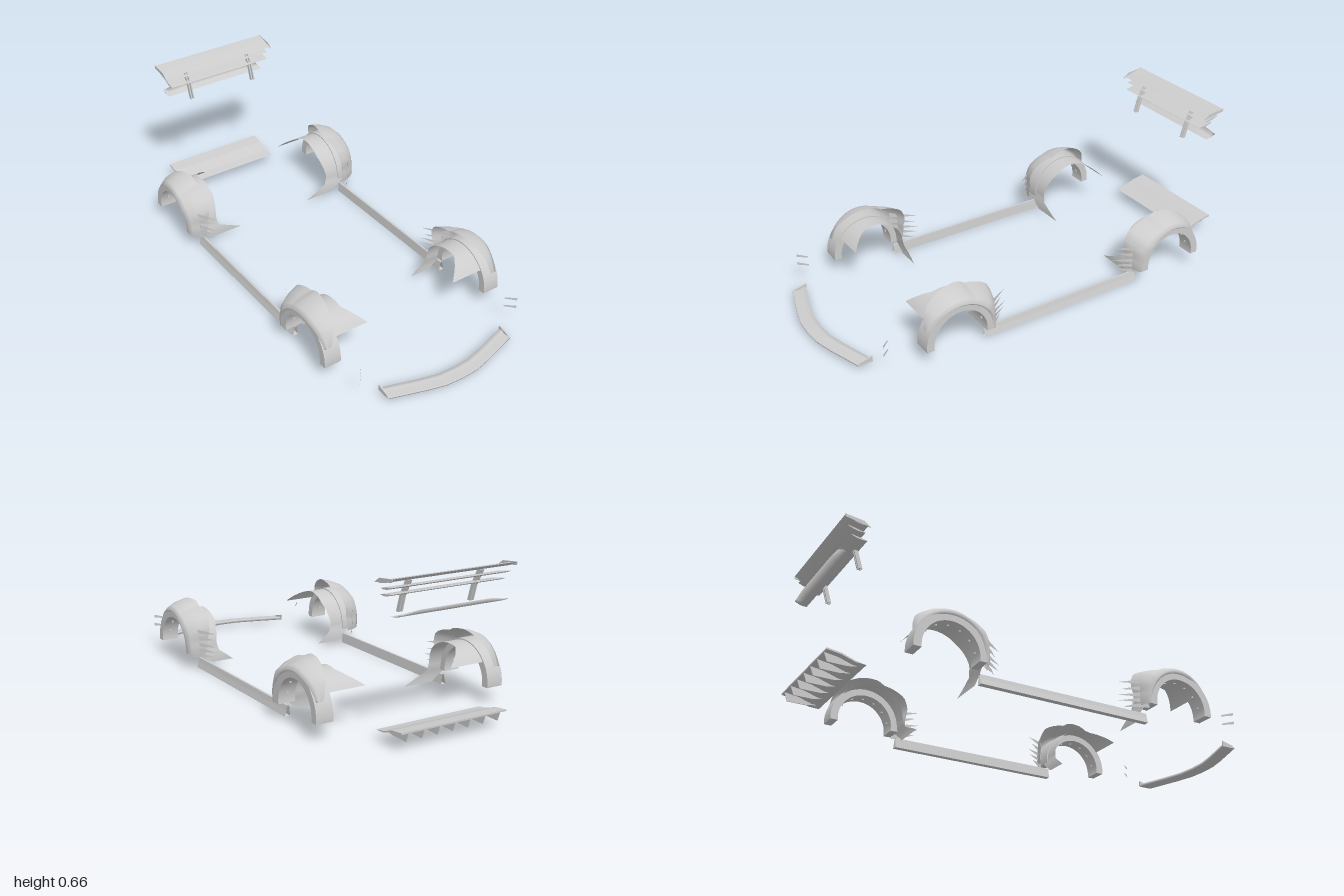
import * as THREE from 'three';

const paint = new THREE.MeshStandardMaterial({ color: 0xcccccc, side: THREE.DoubleSide });
paint.name = 'lightGrey';

function add(parent, name, geo) {
  const mesh = new THREE.Mesh(geo, paint);
  mesh.name = name;
  parent.add(mesh);
  return mesh;
}

// Sheet through a grid of rows of [x, y, z] points
function sheet(rows) {
  const n = rows[0].length, index = [];
  for (let i = 0; i < rows.length - 1; i++)
    for (let j = 0; j < n - 1; j++) {
      const a = i * n + j, b = a + n;
      index.push(a, b, a + 1, b, b + 1, a + 1);
    }
  const geo = new THREE.BufferGeometry();
  geo.setAttribute('position', new THREE.Float32BufferAttribute(rows.flat(2), 3));
  geo.setIndex(index);
  geo.computeVertexNormals();
  return geo;
}

// Prism along x; the shape is drawn with its x axis as -z
function prism(shape, x0, x1) {
  const geo = new THREE.ExtrudeGeometry(shape, { depth: x1 - x0, bevelEnabled: false, curveSegments: 28 });
  return geo.rotateY(Math.PI / 2).translate(x0, 0, 0);
}
const outline = (pts) => new THREE.Shape(pts.map(([z, y]) => new THREE.Vector2(-z, y)));

// Curved blade between a front and a rear [z, y] edge
function blade(half, [z0, y0], [z1, y1], thick) {
  const s = new THREE.Shape();
  const mz = -(z0 + z1) / 2, my = (y0 + y1) / 2;
  s.moveTo(-z0, y0);
  s.quadraticCurveTo(mz, my + thick * 0.3, -z1, y1);
  s.quadraticCurveTo(mz, my - thick * 1.7, -z0, y0);
  return prism(s, -half, half);
}

// Linear interpolation in a short list of [key, value]
function lerp(table, t) {
  for (let i = 1; i < table.length; i++) {
    const [a, va] = table[i - 1], [b, vb] = table[i];
    if (t <= b) return va + (vb - va) * Math.max(0, (t - a) / (b - a));
  }
  return table[table.length - 1][1];
}

// Wheel arch set; m is the side (+1 left), s points away from the car's middle
function wheelArch(name, m, s, zc, tipX, footX) {
  const g = new THREE.Group();
  g.name = name;
  const yc = 0.085;
  const polar = (x, r, deg) => {
    const a = deg * Math.PI / 180;
    return [m * x, yc + r * Math.sin(a), zc + s * r * Math.cos(a)];
  };

  // Wide flare around the wheel
  const ring = new THREE.Shape();
  ring.absarc(-zc, yc, 0.16, -0.09, Math.PI + 0.09, false);
  ring.absarc(-zc, yc, 0.126, Math.PI + 0.12, -0.12, true);
  add(g, 'archFlare', m > 0 ? prism(ring, 0.38, 0.458) : prism(ring, -0.458, -0.38));

  // Bolts inside the flare
  for (let i = 0; i < 7; i++) {
    const bolt = add(g, 'flareBolt', new THREE.BoxGeometry(0.008, 0.008, 0.008));
    bolt.position.set(...polar(0.42, 0.125, 15 + i * 25));
  }

  // Fender skin rolling up and inward above the flare
  const skin = [];
  const crest = [[25, 0.165], [48, 0.195], [62, 0.2], [82, 0.207], [104, 0.207], [112, 0.2], [140, 0.232], [152, 0.225], [165, 0.2], [185, 0.19]];
  const crown = [[25, 0.42], [60, 0.385], [100, 0.36], [140, 0.365], [185, 0.39]];
  const bulge = [[25, 0.45], [70, 0.468], [140, 0.475], [185, 0.462]];
  for (let deg = 25; deg <= 185; deg += 4) {
    const R = lerp(crest, deg), xi = lerp(crown, deg), xo = lerp(bulge, deg);
    skin.push([
      polar(xo - 0.01, 0.152, deg), polar(xo, 0.162, deg),
      polar(xo - 0.015, 0.162 + (R - 0.162) * 0.35, deg),
      polar(xo + (xi - xo) * 0.55, 0.162 + (R - 0.162) * 0.75, deg),
      polar(xi, R, deg),
    ]);
  }
  add(g, 'fenderSkin', sheet(skin));

  // Inner liner, flaring wide at the upper end and at the foot
  const liner = [];
  const inner = [[36, tipX], [58, 0.27], [75, 0.3], [130, 0.295], [170, 0.315], [185, 0.305], [202, footX]];
  for (let deg = 36; deg <= 202; deg += 83 / 15) {
    const xi = lerp(inner, deg), xo = deg > 180 ? 0.43 - (deg - 180) * 0.004 : deg > 165 ? 0.38 + (deg - 165) / 300 : 0.39;
    const r = 0.155 + Math.max(0, deg - 180) * 0.001;
    liner.push([polar(xo, r, deg), polar((xo + xi) / 2, r, deg), polar(xi, r, deg)]);
  }
  add(g, 'wheelLiner', sheet(liner));

  // Pointed blades trailing towards the sill
  [0.055, 0.08, 0.105, 0.135, 0.165].forEach((y, i) => {
    const z0 = zc - s * 0.155, reach = [0.235, 0.255, 0.26, 0.24, 0.255][i] + (s > 0 ? 0.01 : 0);
    const tip = [m * 0.37, y + 0.012, zc - s * reach];
    add(g, 'trailingBlade', sheet([
      [[m * 0.44, y, z0], [m * 0.44, y + 0.026, z0]],
      [[m * 0.405, y + 0.006, zc - s * 0.205], [m * 0.405, y + 0.02, zc - s * 0.205]],
      [tip, tip],
    ]));
  });
  return g;
}

export function createModel() {
  const model = new THREE.Group();
  model.name = 'carBodyKit';

  for (const m of [1, -1]) {
    const side = m > 0 ? 'left' : 'right';
    model.add(wheelArch(side + 'FrontArch', m, 1, 0.525, 0.225, 0.235));
    model.add(wheelArch(side + 'RearArch', m, -1, -0.575, 0.21, 0.19));

    // Side skirt, wider at the base
    const skirt = [[0.386, 0], [0.411, 0], [0.404, 0.025], [0.4, 0.045], [0.391, 0.045]];
    skirt.push(skirt[0]);
    add(model, side + 'SideSkirt', sheet([0.38, -0.42].map((z) => skirt.map(([x, y]) => [m * x, y, z]))).toNonIndexed())
      .geometry.computeVertexNormals();

    // Small upright canards at the front corners
    for (const y of [0.091, 0.132])
      add(model, side + 'Canard', sheet([
        [[m * 0.375, y, 0.815], [m * 0.375, y + 0.007, 0.815]],
        [[m * 0.41, y, 0.855], [m * 0.41, y + 0.013, 0.855]],
      ]));

    // Splitter end fence
    const fence = outline([[0.86, 0.018], [0.925, 0.018], [0.915, 0.03], [0.86, 0.044]]);
    add(model, side + 'SplitterFence', prism(fence, m * 0.317 - 0.003, m * 0.317 + 0.003));
  }

  // Front splitter swept across the nose with a raised rear lip
  const bow = [[0, 1], [0.08, 0.995], [0.16, 0.975], [0.24, 0.95], [0.32, 0.925]];
  const section = [[0, 0.022], [-0.005, 0.026], [-0.035, 0.024], [-0.045, 0.03], [-0.064, 0.03], [-0.064, 0.018], [0, 0.018], [0, 0.022]];
  const splitter = [];
  for (let i = -20; i <= 20; i++) {
    const x = i * 0.016, z = lerp(bow, Math.abs(x));
    splitter.push(section.map(([dz, y]) => [x, y, z + dz]));
  }
  add(model, 'frontSplitter', sheet(splitter));

  // Rear diffuser: rising plate with vertical fins
  const plate = outline([[-0.835, 0.045], [-0.88, 0.053], [-0.94, 0.073], [-1, 0.081], [-1, 0.074], [-0.94, 0.066], [-0.88, 0.047]]);
  add(model, 'diffuserPlate', prism(plate, -0.252, 0.252));
  const fin = outline([[-0.86, 0.045], [-0.9, 0.037], [-0.985, 0.037], [-1, 0.076], [-0.93, 0.067]]);
  for (let i = -3; i <= 3; i++)
    add(model, 'diffuserFin', prism(fin, i * 0.0735 - 0.002, i * 0.0735 + 0.002));

  // Stacked rear wing
  const wing = new THREE.Group();
  wing.name = 'rearWing';
  model.add(wing);
  add(wing, 'topBlade', blade(0.292, [-0.88, 0.637], [-0.98, 0.662], 0.012));
  add(wing, 'secondBlade', blade(0.277, [-0.885, 0.611], [-0.965, 0.626], 0.008));
  add(wing, 'thirdBlade', blade(0.266, [-0.87, 0.583], [-0.945, 0.595], 0.008));

  // Lower blade, arched in the middle
  const lower = [];
  for (let i = -13; i <= 13; i++) {
    const x = i * 0.02, k = Math.min(1, (0.26 - Math.abs(x)) / 0.09);
    lower.push([[x, 0.509, -0.925], [x, 0.516 + 0.006 * k, -0.95], [x, 0.522 + 0.013 * k, -0.98],
      [x, 0.511, -0.955], [x, 0.509, -0.925]]);
  }
  add(wing, 'lowerBlade', sheet(lower));

  // Paired slanted struts and small end plates
  const strut = outline([[-0.85, 0.503], [-0.868, 0.503], [-0.888, 0.57], [-0.925, 0.635], [-0.905, 0.635], [-0.872, 0.575]]);
  const end = outline([[-0.87, 0.632], [-0.98, 0.65], [-0.982, 0.663], [-0.9, 0.654]]);
  for (const m of [1, -1]) {
    for (const x of [0.164, 0.176])
      add(wing, 'wingStrut', prism(strut, m * x - 0.003, m * x + 0.003));
    add(wing, 'wingEndPlate', prism(end, m * 0.292 - 0.0015, m * 0.292 + 0.0015));
  }
  return model;
}
